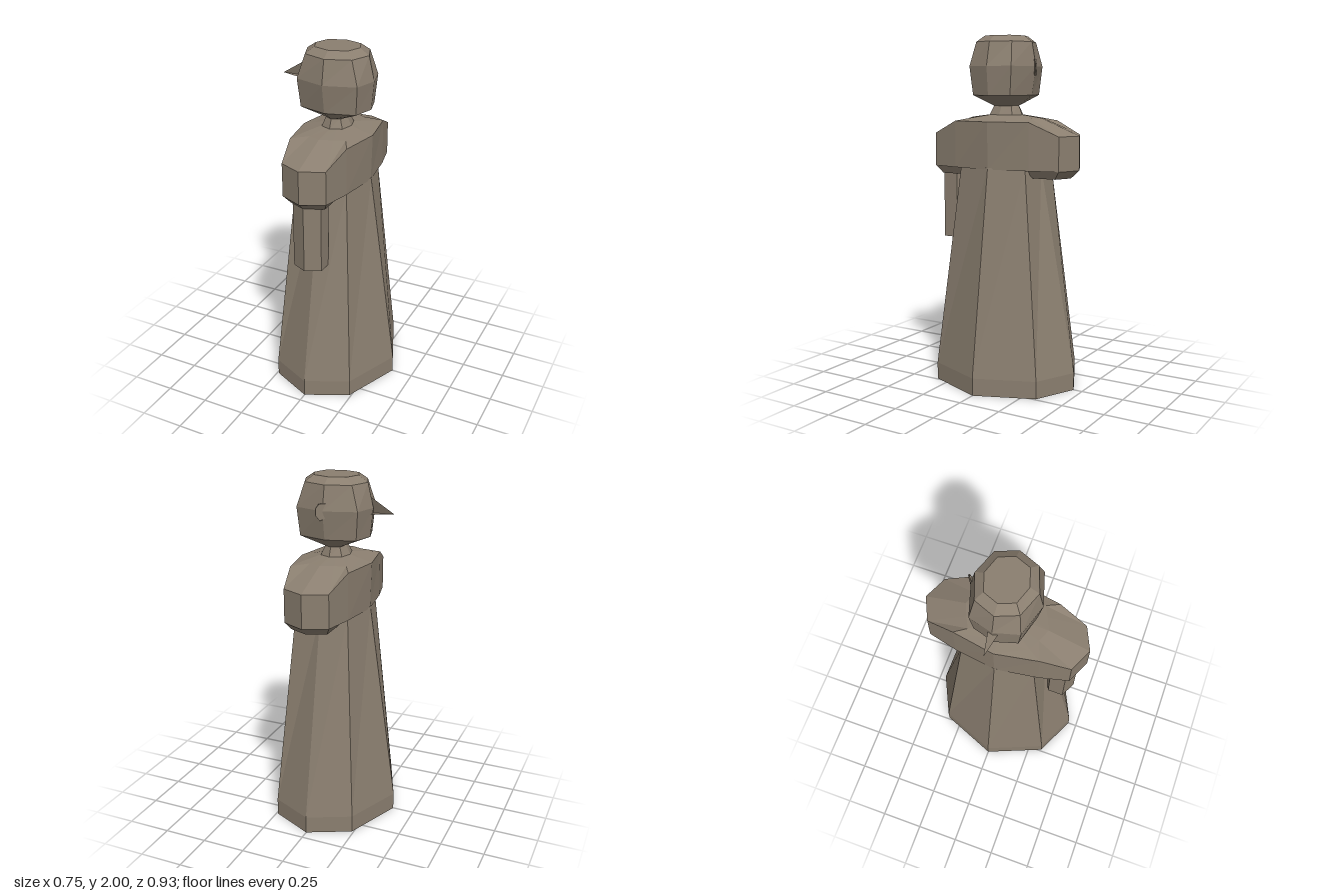
import * as THREE from 'three';

// Joins closed rings of [x, y, z] points, bottom to top, and caps both ends.
function loft(rings) {
  const pos = [];
  const tri = (a, b, c) => pos.push(...a, ...b, ...c);
  const n = rings[0].length;
  for (let r = 0; r < rings.length - 1; r++) {
    const lo = rings[r], up = rings[r + 1];
    for (let i = 0; i < n; i++) {
      const j = (i + 1) % n;
      tri(lo[i], up[i], lo[j]);
      tri(up[i], up[j], lo[j]);
    }
  }
  const bottom = rings[0], top = rings[rings.length - 1];
  for (let i = 1; i < n - 1; i++) {
    tri(bottom[0], bottom[i], bottom[i + 1]);
    tri(top[0], top[i + 1], top[i]);
  }
  const g = new THREE.BufferGeometry();
  g.setAttribute('position', new THREE.Float32BufferAttribute(pos, 3));
  g.computeVertexNormals();
  return g;
}

// Mirrors a quarter outline, from the x axis to the z axis, into a full ring.
function ring(q) {
  const half = [...q, ...q.slice(0, -1).reverse().map(([x, y, z]) => [-x, y, z])];
  return [...half, ...half.slice(1, -1).reverse().map(([x, y, z]) => [x, y, -z])];
}

const oct = (y, x, dx, dz, z) => ring([[x, y, 0], [dx, y, dz], [0, y, z]]);

// Hexagon with its points on the z axis
const hex = (y, x, zIn, zInSide, zOutSide, zOut) => [
  [x, y, zInSide], [x, y, zOutSide], [0, y, zOut],
  [-x, y, zOutSide], [-x, y, zInSide], [0, y, zIn],
];

export function createModel() {
  const model = new THREE.Group();
  const clay = new THREE.MeshStandardMaterial({ color: 0x8b7f70, flatShading: true });
  clay.name = 'clay';
  const add = (name, geometry) => {
    const mesh = new THREE.Mesh(geometry, clay);
    mesh.name = name;
    model.add(mesh);
    return mesh;
  };

  // Long tapering robe with a straight hem
  add('robe', loft([
    oct(0, 0.375, 0.24, 0.333, 0.447),
    oct(0.1, 0.375, 0.24, 0.333, 0.447),
    oct(1.27, 0.207, 0.155, 0.21, 0.228),
  ]));

  // Wide shoulders, sloping down to the arm ends
  add('shoulders', loft([
    ring([[0.205, 1.26, 0], [0.17, 1.26, 0.24], [0.13, 1.26, 0.405], [0, 1.26, 0.465]]),
    ring([[0.212, 1.525, 0], [0.17, 1.525, 0.24], [0.13, 1.45, 0.405], [0, 1.45, 0.465]]),
    ring([[0.14, 1.543, 0], [0.13, 1.54, 0.17], [0.07, 1.542, 0.2], [0, 1.543, 0.23]]),
    ring([[0.085, 1.56, 0], [0.065, 1.56, 0.07], [0.035, 1.56, 0.09], [0, 1.56, 0.105]]),
  ]));

  // Bevelled undersides of both upper arms
  for (const side of [1, -1]) {
    const cuff = add(side > 0 ? 'frontCuff' : 'backCuff', loft([
      hex(1.215, 0.105, 0.19, 0.23, 0.37, 0.415),
      hex(1.261, 0.13, 0.12, 0.19, 0.405, 0.465),
    ]));
    if (side < 0) cuff.rotation.y = Math.PI;
  }

  // Hanging forearm on one side only
  add('forearm', loft([0.835, 1.24].map((y) => hex(y, 0.085, 0.245, 0.29, 0.378, 0.42))));

  // Neck and faceted head
  add('neck', loft([
    oct(1.555, 0.085, 0.065, 0.075, 0.105),
    oct(1.615, 0.055, 0.042, 0.055, 0.08),
  ]));
  add('head', loft([
    oct(1.61, 0.057, 0.045, 0.055, 0.08),
    oct(1.67, 0.2, 0.165, 0.12, 0.165),
    oct(1.83, 0.215, 0.178, 0.135, 0.19),
    oct(1.965, 0.183, 0.137, 0.115, 0.165),
    oct(2, 0.13, 0.097, 0.083, 0.115),
  ]));

  // Pointed nose: a triangular section shrinking to a tip
  const noseBase = [[-0.19, 1.895, 0], [-0.2, 1.797, -0.027], [-0.2, 1.797, 0.027]];
  add('nose', loft([noseBase, noseBase.map(() => [-0.335, 1.805, 0])]));

  // Small thin ear standing off the side of the head
  const earShape = new THREE.Shape([
    [-0.01, 0.045], [0.025, 0.045], [0.045, 0.02], [0.045, -0.015], [0.022, -0.045], [-0.01, -0.035],
  ].map(([x, y]) => new THREE.Vector2(x, y)));
  const ear = add('ear', new THREE.ExtrudeGeometry(earShape, { depth: 0.009, bevelEnabled: false }));
  ear.position.set(-0.005, 1.825, -0.185);
  ear.rotation.y = 0.7;

  return model;
}
